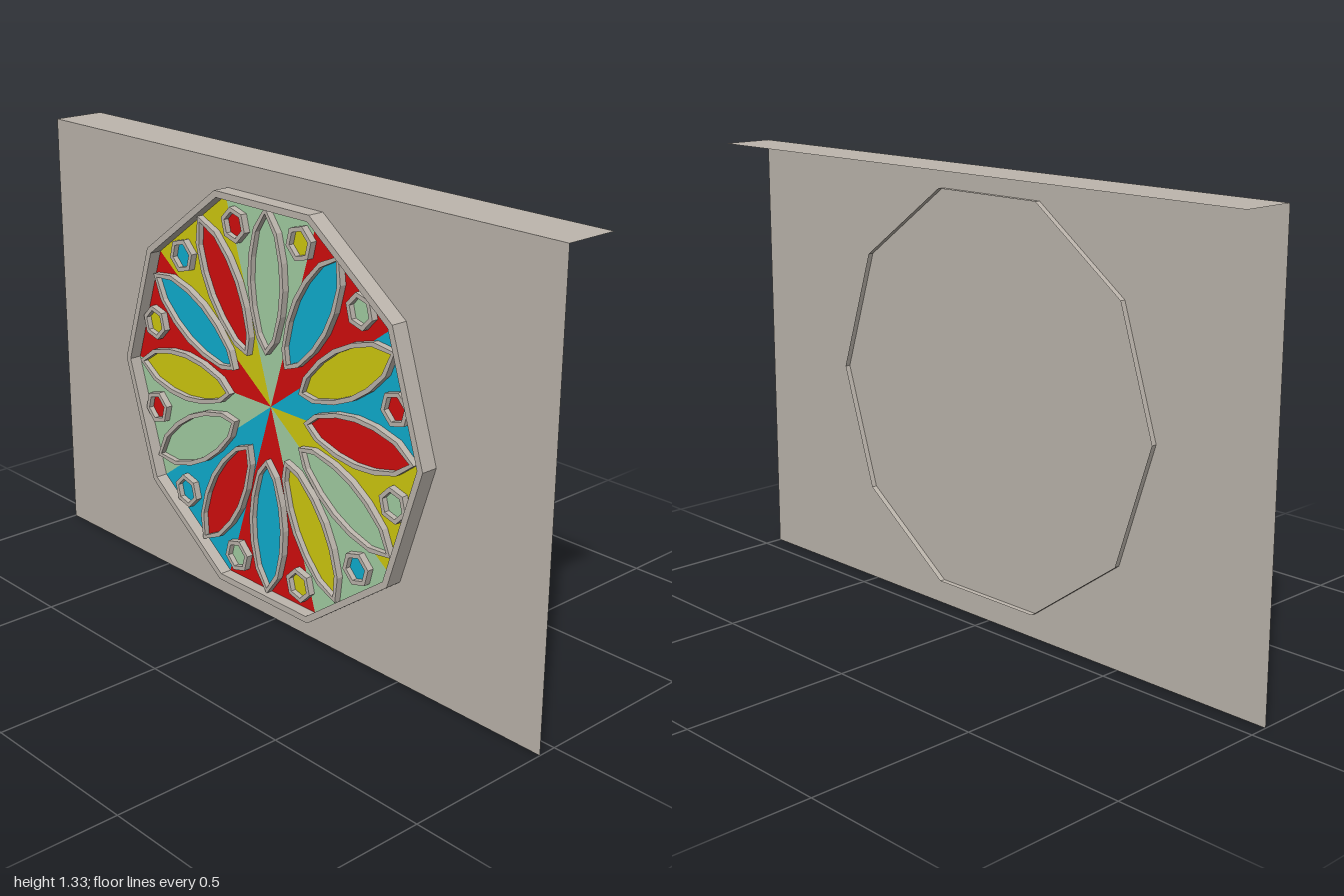
import * as THREE from 'three';

const CY = 0.6625;                       // height of the window centre
const WALL_Z = 0.056, PANE_Z = 0.07, GLASS_Z = 0.074, FRAME_Z = 0.09, RIM_Z = 0.106, BACK_Z = 0.039;
const DEG = Math.PI / 180;

function material(name, color, side = THREE.FrontSide) {
  const m = new THREE.MeshStandardMaterial({ color, side });
  m.name = name;
  return m;
}

// Regular polygon with its first corner on +x
function polygon(n, r) {
  return Array.from({ length: n }, (_, i) => {
    const a = (i / n) * Math.PI * 2;
    return new THREE.Vector2(Math.cos(a) * r, Math.sin(a) * r);
  });
}

// Pointed petal lying along +x, centred on the origin
function petal(sx, sy) {
  const half = [[0.2075, 0], [0.145, 0.047], [0.065, 0.068], [-0.01, 0.073], [-0.085, 0.063], [-0.165, 0.037], [-0.2075, 0]];
  const mirrored = half.slice(1, -1).reverse().map(([x, y]) => [x, -y]);
  return [...half, ...mirrored].map(([x, y]) => new THREE.Vector2(x * sx, y * sy));
}

// Raised band between two outlines
function band(outer, inner, depth) {
  const shape = new THREE.Shape(outer);
  shape.holes.push(new THREE.Path(inner));
  return new THREE.ExtrudeGeometry(shape, { depth, bevelEnabled: false });
}

export function createModel() {
  const stone = material('stone', 0xbdb6ad, THREE.DoubleSide);
  const R = material('redGlass', 0xd40d0d);
  const Y = material('yellowGlass', 0xd2cc0f);
  const B = material('blueGlass', 0x0fb0d2);
  const G = material('greenGlass', 0xa4d0a4);

  const model = new THREE.Group();
  model.name = 'roseWindowWall';
  const add = (parent, name, geometry, mat, x = 0, y = 0, z = 0) => {
    const mesh = new THREE.Mesh(geometry, mat);
    mesh.name = name;
    mesh.position.set(x, y, z);
    parent.add(mesh);
    return mesh;
  };

  // Wall sheet and the flat ledge running back from its top edge
  add(model, 'wall', new THREE.PlaneGeometry(2, 1.325), stone, 0, CY, WALL_Z);
  const ledgeDepth = WALL_Z + 0.106;
  add(model, 'topLedge', new THREE.PlaneGeometry(2, ledgeDepth).rotateX(-Math.PI / 2), stone,
    0, 1.325, WALL_Z - ledgeDepth / 2);

  const rose = new THREE.Group();
  rose.name = 'roseWindow';
  rose.position.y = CY;
  model.add(rose);

  // Ten-sided rim, with an open skirt showing behind the wall
  add(rose, 'rim', band(polygon(10, 0.617), polygon(10, 0.597), RIM_Z - WALL_Z), stone, 0, 0, WALL_Z);
  const skirt = new THREE.CylinderGeometry(0.617, 0.617, WALL_Z - BACK_Z, 10, 1, true, Math.PI / 2)
    .rotateX(Math.PI / 2).toNonIndexed();
  skirt.computeVertexNormals();
  add(rose, 'rimSkirt', skirt, stone, 0, 0, (WALL_Z + BACK_Z) / 2);

  // Ten background wedges, counter-clockwise from +x
  const corners = polygon(10, 0.597);
  [B, R, G, Y, R, G, B, R, G, Y].forEach((mat, i) => {
    const wedge = new THREE.Shape([new THREE.Vector2(0, 0), corners[i], corners[(i + 1) % 10]]);
    add(rose, 'backgroundPane', new THREE.ShapeGeometry(wedge), mat, 0, 0, PANE_Z);
  });

  // Framed panes set around the centre
  function circleOfPanes(name, colours, startDeg, radius, outer, inner) {
    const glass = new THREE.ShapeGeometry(new THREE.Shape(inner));
    const frame = band(outer, inner, FRAME_Z - PANE_Z);
    colours.forEach((mat, i) => {
      const spoke = new THREE.Group();
      spoke.name = name;
      spoke.rotation.z = (startDeg + i * 30) * DEG;
      rose.add(spoke);
      add(spoke, name + 'Glass', glass, mat, radius, 0, GLASS_Z);
      add(spoke, name + 'Frame', frame, stone, radius, 0, PANE_Z);
    });
  }
  circleOfPanes('petal', [R, Y, B, G, R, B, Y, G, R, B, Y, G], 0, 0.3625, petal(1, 1), petal(0.92, 0.81));
  circleOfPanes('hexagon', [R, G, Y, R, B, Y, R, B, G, Y, B, G], 15, 0.514, polygon(6, 0.051), polygon(6, 0.037));

  return model;
}
